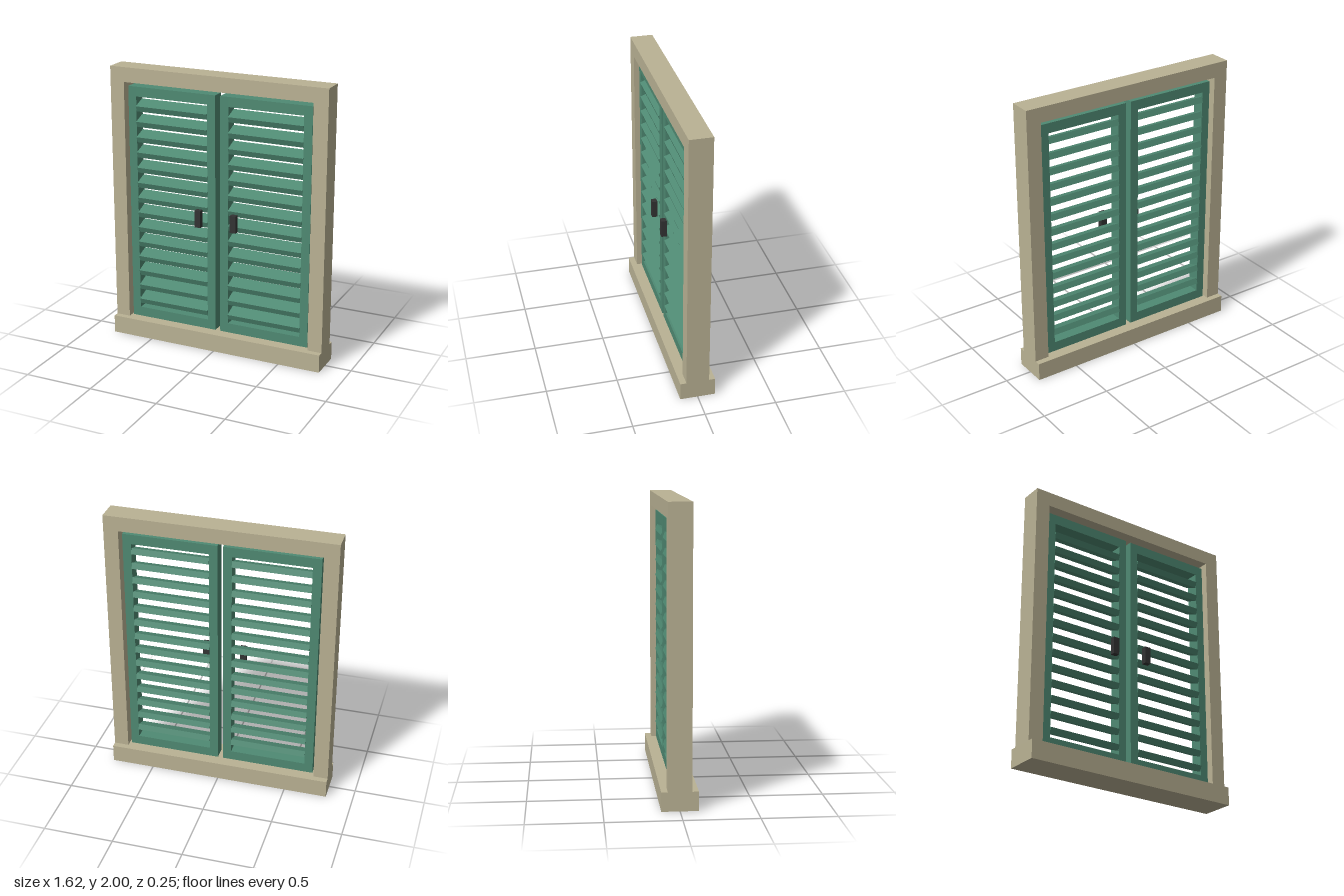
import * as THREE from 'three';

export function createModel() {
  const model = new THREE.Group();
  model.name = 'shutteredWindow';

  const material = (name, color) => {
    const m = new THREE.MeshStandardMaterial({ color });
    m.name = name;
    return m;
  };
  const stone = material('sandstone', 0xbab294);
  const green = material('shutterGreen', 0x4f8a73);
  const iron = material('darkIron', 0x333333);

  // Box given by its limits on each axis
  const box = (parent, name, mat, [x0, x1], [y0, y1], [z0, z1]) => {
    const mesh = new THREE.Mesh(new THREE.BoxGeometry(x1 - x0, y1 - y0, z1 - z0), mat);
    mesh.position.set((x0 + x1) / 2, (y0 + y1) / 2, (z0 + z1) / 2);
    mesh.name = name;
    parent.add(mesh);
    return mesh;
  };

  // Surrounding frame
  const frame = new THREE.Group();
  frame.name = 'frame';
  model.add(frame);
  const frameZ = [-0.08, 0.08];
  box(frame, 'sill', stone, [-0.808, 0.808], [0, 0.13], [-0.123, 0.123]);
  box(frame, 'lintel', stone, [-0.703, 0.703], [1.895, 2], frameZ);
  box(frame, 'leftPost', stone, [0.703, 0.808], [0.13, 2], frameZ);
  box(frame, 'rightPost', stone, [-0.808, -0.703], [0.13, 2], frameZ);

  // One louvred leaf per side; side is +1 for left, -1 for right
  const slatCount = 14, slatPitch = 0.1117, lowestSlat = 0.27;
  const slatTilt = 0.37, slatDepth = 0.1, slatThickness = 0.043;
  for (const side of [1, -1]) {
    const leaf = new THREE.Group();
    leaf.name = side > 0 ? 'leftShutter' : 'rightShutter';
    model.add(leaf);
    const span = (a, b) => (side > 0 ? [a, b] : [-b, -a]);
    const leafZ = [-0.045, 0.045];

    box(leaf, 'innerStile', green, span(0.019, 0.08), [0.133, 1.862], leafZ);
    box(leaf, 'outerStile', green, span(0.627, 0.688), [0.133, 1.862], leafZ);
    box(leaf, 'topRail', green, span(0.08, 0.627), [1.792, 1.862], leafZ);
    box(leaf, 'bottomRail', green, span(0.08, 0.627), [0.133, 0.203], leafZ);

    // Slats slope down towards the front
    for (let i = 0; i < slatCount; i++) {
      const y = lowestSlat + i * slatPitch;
      const slat = box(leaf, 'slat', green, span(0.08, 0.627),
        [y - slatThickness / 2, y + slatThickness / 2], [-slatDepth / 2, slatDepth / 2]);
      slat.rotation.x = slatTilt;
    }

    box(leaf, 'handle', iron, span(0.113, 0.157), [0.912, 1.036], [0.055, 0.093]);
  }
  return model;
}
